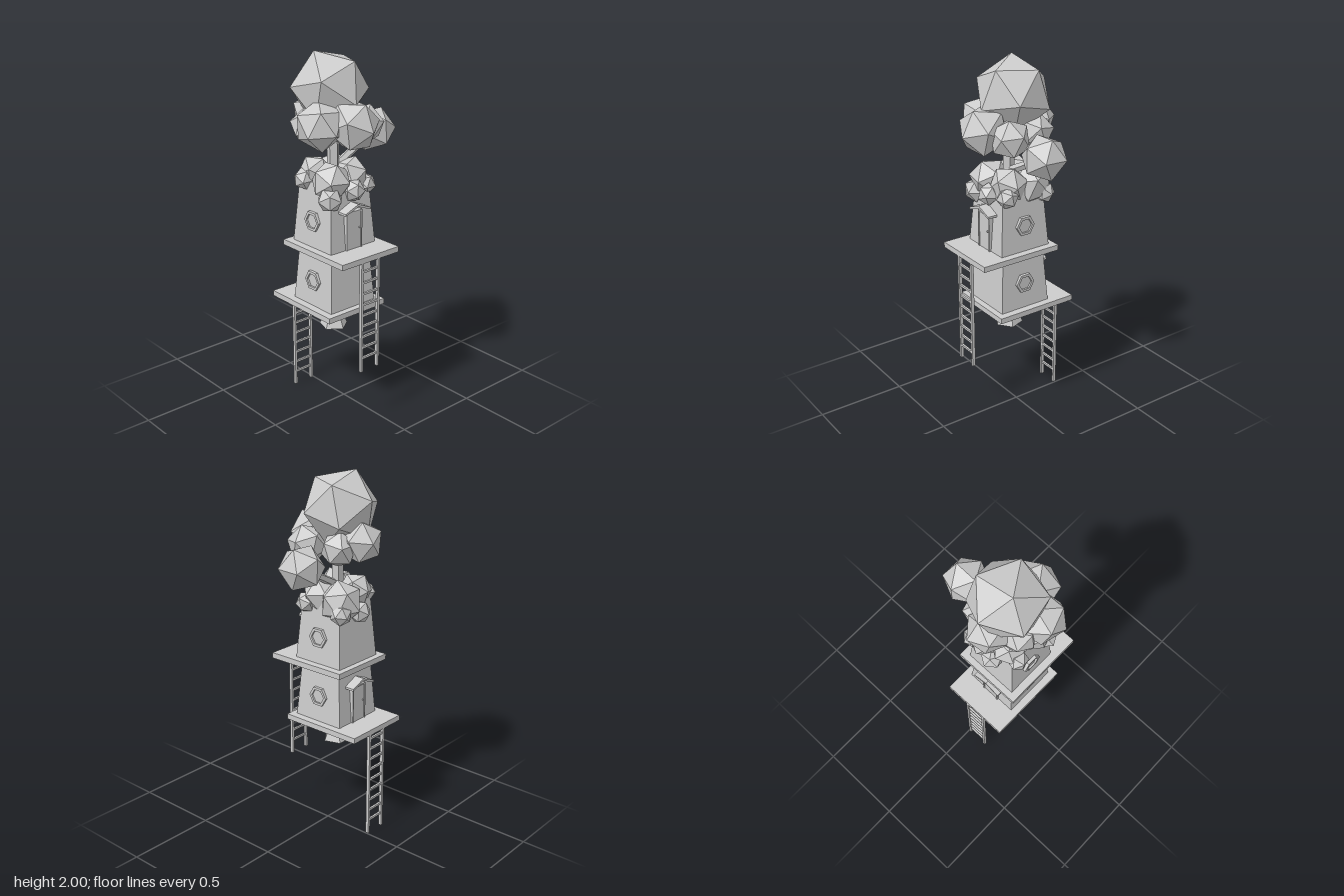
import * as THREE from 'three';

const grey = new THREE.MeshStandardMaterial({ color: 0xcccccc, flatShading: true });
const V = (a) => new THREE.Vector3(...a);

function add(parent, name, geometry, x = 0, y = 0, z = 0) {
  const mesh = new THREE.Mesh(geometry, grey);
  mesh.name = name;
  mesh.position.set(x, y, z);
  parent.add(mesh);
  return mesh;
}
const box = (w, h, d) => new THREE.BoxGeometry(w, h, d);

// Orthonormal frame whose x axis is a and whose y axis leans to b
function frame(a, b) {
  const x = a.clone().normalize();
  const z = x.clone().cross(b).normalize();
  return new THREE.Matrix4().makeBasis(x, z.clone().cross(x), z);
}

// Icosahedral leaf clump; corner directions a and b set its orientation
function leaf(parent, [x, y, z, r], a = [0.3, 1, 0.2], b = [1, 0.4, 0.1]) {
  const t = (1 + Math.sqrt(5)) / 2;
  const from = frame(V([0, 1, t]), V([t, 0, 1])).transpose();
  const g = new THREE.IcosahedronGeometry(r, 0);
  g.applyMatrix4(frame(V(a), V(b)).multiply(from));
  add(parent, 'leafClump', g, x, y, z);
}

function hexagon(radius, PathType = THREE.Shape) {
  const p = new PathType();
  for (let i = 0; i < 6; i++) {
    const t = (i * Math.PI) / 3;
    p[i ? 'lineTo' : 'moveTo'](radius * Math.cos(t), radius * Math.sin(t));
  }
  p.closePath();
  return p;
}

function makeWindow() {
  const g = new THREE.Group();
  g.name = 'window';
  const ring = hexagon(0.058);
  ring.holes.push(hexagon(0.042, THREE.Path));
  add(g, 'windowFrame', new THREE.ExtrudeGeometry(ring, { depth: 0.03, bevelEnabled: false }), 0, 0, -0.015);
  add(g, 'windowPane', new THREE.ExtrudeGeometry(hexagon(0.045), { depth: 0.02, bevelEnabled: false }), 0, 0, -0.015);
  return g;
}

function makeDoor() {
  const g = new THREE.Group();
  g.name = 'door';
  for (const s of [-1, 1]) add(g, 'doorPost', box(0.008, 0.21, 0.036), s * 0.05, 0.105, 0.147);
  add(g, 'doorLintel', box(0.108, 0.008, 0.036), 0, 0.206, 0.147);
  add(g, 'doorPanel', box(0.094, 0.204, 0.03), 0, 0.102, 0.145);
  add(g, 'doorKnob', new THREE.IcosahedronGeometry(0.006, 0), 0.036, 0.112, 0.164);
  // Gabled canopy
  const c = new THREE.Shape();
  [[-0.088, 0.208], [0, 0.242], [0.088, 0.208], [0.088, 0.22], [0, 0.256], [-0.088, 0.22]]
    .forEach(([x, y], i) => c[i ? 'lineTo' : 'moveTo'](x, y));
  add(g, 'doorCanopy', new THREE.ExtrudeGeometry(c, { depth: 0.075, bevelEnabled: false }), 0, 0, 0.12);
  return g;
}

function makeLadder(height) {
  const g = new THREE.Group();
  g.name = 'ladder';
  for (const s of [-1, 1]) add(g, 'ladderRail', box(0.014, height, 0.018), s * 0.058, height / 2, 0);
  for (let y = 0.08; y < height; y += 0.063) add(g, 'ladderRung', box(0.11, 0.012, 0.012), 0, y, 0);
  return g;
}

// One storey: tapered house, deck, door, side windows and ladder
function makeStorey(name, height, topHalf, ladderHeight) {
  const g = new THREE.Group();
  g.name = name;
  const walls = new THREE.CylinderGeometry(topHalf * Math.SQRT2, 0.155 * Math.SQRT2, height, 4);
  walls.rotateY(Math.PI / 4);
  add(g, 'walls', walls, 0, height / 2, 0);
  add(g, 'deck', box(0.395, 0.031, 0.485), 0, -0.0155, 0.0525);
  g.add(makeDoor());
  for (const s of [-1, 1]) {
    const w = makeWindow();
    w.position.set(s * 0.143, 0.145, 0);
    w.rotation.y = (s * Math.PI) / 2;
    g.add(w);
  }
  const ladder = makeLadder(ladderHeight);
  ladder.position.set(0, -0.031 - ladderHeight, 0.285);
  g.add(ladder);
  return g;
}

export function createModel() {
  const model = new THREE.Group();
  model.name = 'treeHouse';

  const lower = makeStorey('lowerStorey', 0.32, 0.132, 0.609);
  lower.position.set(-0.07, 0.64, 0);
  lower.rotation.y = Math.PI;
  const upper = makeStorey('upperStorey', 0.35, 0.128, 0.634);
  upper.position.set(-0.07, 0.98, 0);
  model.add(lower, upper);

  // Trunk with flared root, and the side branch
  add(model, 'rootFlare', new THREE.CylinderGeometry(0.034, 0.08, 0.11, 5), -0.075, 0.533, 0);
  add(model, 'trunk', new THREE.CylinderGeometry(0.033, 0.034, 1.17, 5), -0.075, 1.17, 0);
  const start = V([-0.07, 1.39, 0]), end = V([0.2, 1.53, -0.01]);
  const branch = add(model, 'branch', new THREE.CylinderGeometry(0.02, 0.024, start.distanceTo(end), 5));
  branch.position.copy(start).lerp(end, 0.5);
  branch.quaternion.setFromUnitVectors(V([0, 1, 0]), end.clone().sub(start).normalize());

  // Crown
  const crown = new THREE.Group();
  crown.name = 'crown';
  leaf(crown, [-0.07, 1.81, -0.03, 0.21], [-0.07, 0.19, -0.04], [0.15, 0.145, -0.06]);
  leaf(crown, [0.22, 1.545, -0.015, 0.125], [0.11, 0.005, 0.07], [0.08, 0.105, 0.01]);
  leaf(crown, [-0.21, 1.65, 0.06, 0.135], [-0.125, -0.04, 0.05], [0, -0.03, 0.13]);
  leaf(crown, [-0.07, 1.645, 0.155, 0.14], [0.01, -0.015, 0.14], [0.015, 0.13, 0.06]);
  leaf(crown, [0.065, 1.62, 0.085, 0.11], [0.1, 0.03, -0.01], [0.05, 0.02, 0.1]);
  leaf(crown, [-0.07, 1.65, -0.16, 0.12], [0.035, 0.01, -0.11], [-0.06, 0.05, -0.09]);
  leaf(crown, [0.03, 1.62, -0.1, 0.1], [0.06, 0.02, -0.07], [0.02, 0.09, -0.03]);
  leaf(crown, [-0.18, 1.62, -0.07, 0.1], [-0.06, 0.02, -0.07], [-0.07, 0.07, 0.03]);

  // Foliage covering the roof
  const roof = new THREE.Group();
  roof.name = 'roofFoliage';
  const clumps = [
    [-0.15, 1.345, 0.07, 0.11], [0.0, 1.345, 0.05, 0.105], [-0.13, 1.36, -0.08, 0.095], [0.0, 1.325, -0.09, 0.12],
    [-0.2, 1.27, 0.12, 0.07], [-0.055, 1.295, 0.14, 0.062], [0.06, 1.3, 0.1, 0.06],
    [-0.08, 1.265, -0.15, 0.065], [0.06, 1.28, -0.14, 0.06], [-0.2, 1.335, -0.09, 0.06],
  ];
  clumps.forEach((c, i) => leaf(roof, c,
    [Math.sin(i * 2.1) * 0.5, 1, Math.cos(i * 1.7) * 0.5], [Math.cos(i * 1.3), 0.3, Math.sin(i * 1.3)]));
  model.add(crown, roof);
  return model;
}
